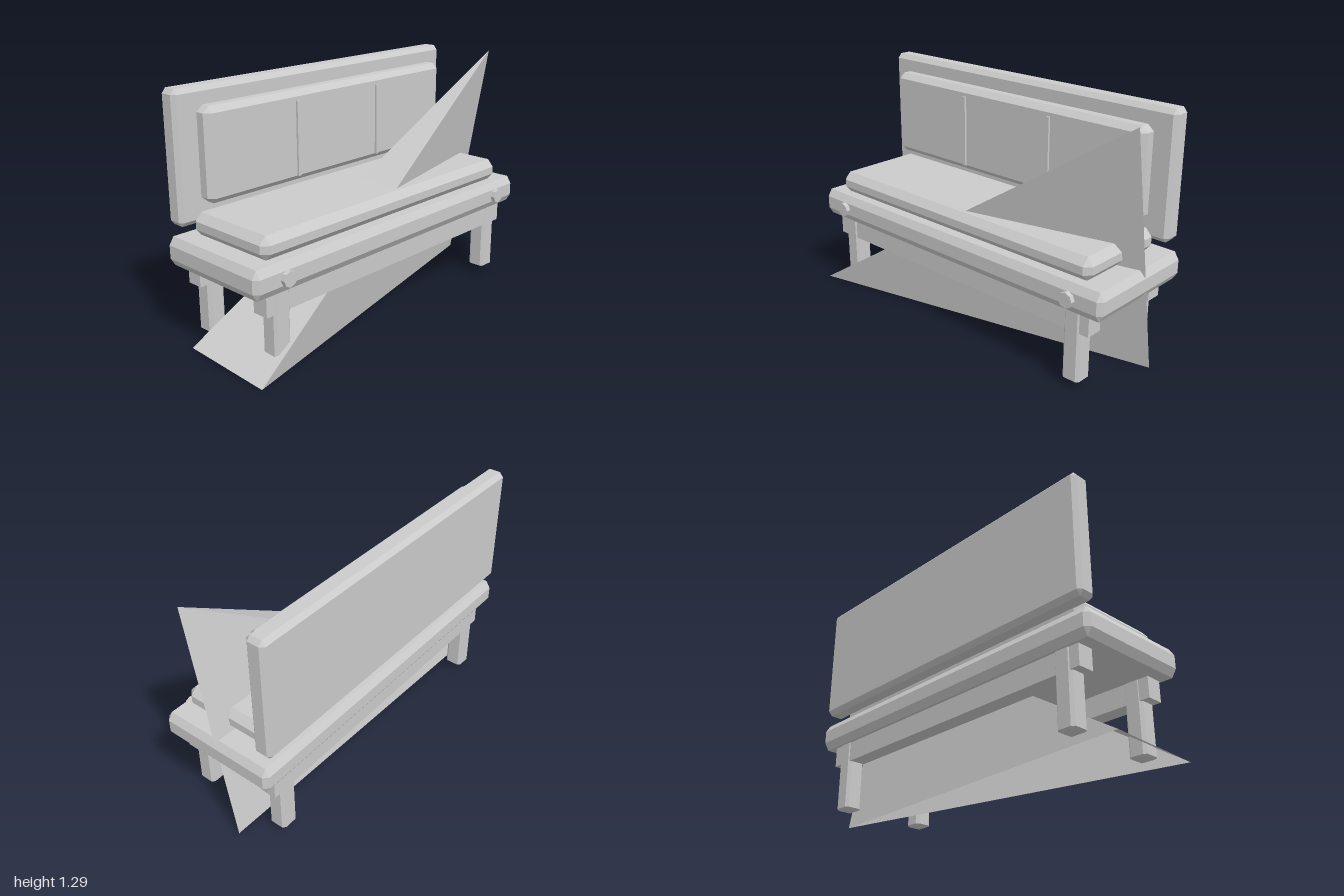
import * as THREE from 'three';
import { ConvexGeometry } from 'three/addons/geometries/ConvexGeometry.js';

const material = new THREE.MeshStandardMaterial({ color: 0xcccccc, flatShading: true });
const sheetMaterial = new THREE.MeshStandardMaterial({ color: 0xcccccc, flatShading: true, side: THREE.DoubleSide });

// Box between two corners with every edge bevelled; bevel = inset along x, y, z
function bevelBox(min, max, bevel) {
  const points = [];
  for (const sx of [-1, 1]) for (const sy of [-1, 1]) for (const sz of [-1, 1]) {
    const s = [sx, sy, sz];
    // three points per corner, each lying on one of the outer faces
    for (let face = 0; face < 3; face++) {
      points.push(new THREE.Vector3(...s.map((sign, i) =>
        (sign < 0 ? min[i] : max[i]) - (i === face ? 0 : sign * bevel[i]))));
    }
  }
  return new ConvexGeometry(points);
}

function plainBox(min, max) {
  const g = new THREE.BoxGeometry(...max.map((v, i) => v - min[i]));
  return g.translate(...max.map((v, i) => (v + min[i]) / 2));
}

export function createModel() {
  const model = new THREE.Group();
  model.name = 'bench';
  const add = (name, geometry, mat = material) => {
    const mesh = new THREE.Mesh(geometry, mat);
    mesh.name = name;
    model.add(mesh);
    return mesh;
  };

  // Seat: frame and cushion
  add('seatFrame', bevelBox([-1, 0.415, -0.34], [1, 0.565, 0.325], [0.025, 0.04, 0.025]));
  add('seatCushion', bevelBox([-0.9, 0.56, -0.265], [0.89, 0.682, 0.275], [0.035, 0.04, 0.035]));

  // Back: board, cushion and two thin strips
  add('backBoard', bevelBox([-0.975, 0.62, -0.348], [0.97, 1.29, -0.24], [0.02, 0.025, 0.022]));
  add('backCushion', bevelBox([-0.865, 0.73, -0.25], [0.865, 1.205, -0.143], [0.035, 0.03, 0.03]));
  for (const x of [-0.3, 0.295]) {
    add('backStrip', plainBox([x - 0.01, 0.76, -0.144], [x + 0.01, 1.155, -0.131]));
  }

  // Long rails under the seat, front and back
  add('frontRail', plainBox([-0.91, 0.305, 0.195], [0.91, 0.43, 0.285]));
  add('backRail', plainBox([-0.91, 0.305, -0.3], [0.91, 0.43, -0.21]));

  // Legs and front knobs
  for (const x of [-0.815, 0.815]) {
    for (const [name, z] of [['frontLeg', 0.242], ['backLeg', -0.255]]) {
      add(name, bevelBox([x - 0.05, 0.035, z - 0.05], [x + 0.05, 0.44, z + 0.05], [0.015, 0.008, 0.015]));
    }
    const knob = add('knob', new THREE.CylinderGeometry(0.04, 0.04, 0.04, 8).rotateX(Math.PI / 2));
    knob.position.set(x, 0.488, 0.329);
  }

  // Slanted three-sided sheet, open underneath
  const tip = [1, 1.29, 0.11], front = [-1, 0, 0.34], back = [-1, 0.02, -0.18], side = [1, 0, -0.12];
  const sheet = new THREE.BufferGeometry();
  sheet.setAttribute('position', new THREE.Float32BufferAttribute(
    [tip, front, side, tip, back, front, tip, side, back].flat(), 3));
  sheet.computeVertexNormals();
  add('slantedSheet', sheet, sheetMaterial);

  return model;
}
